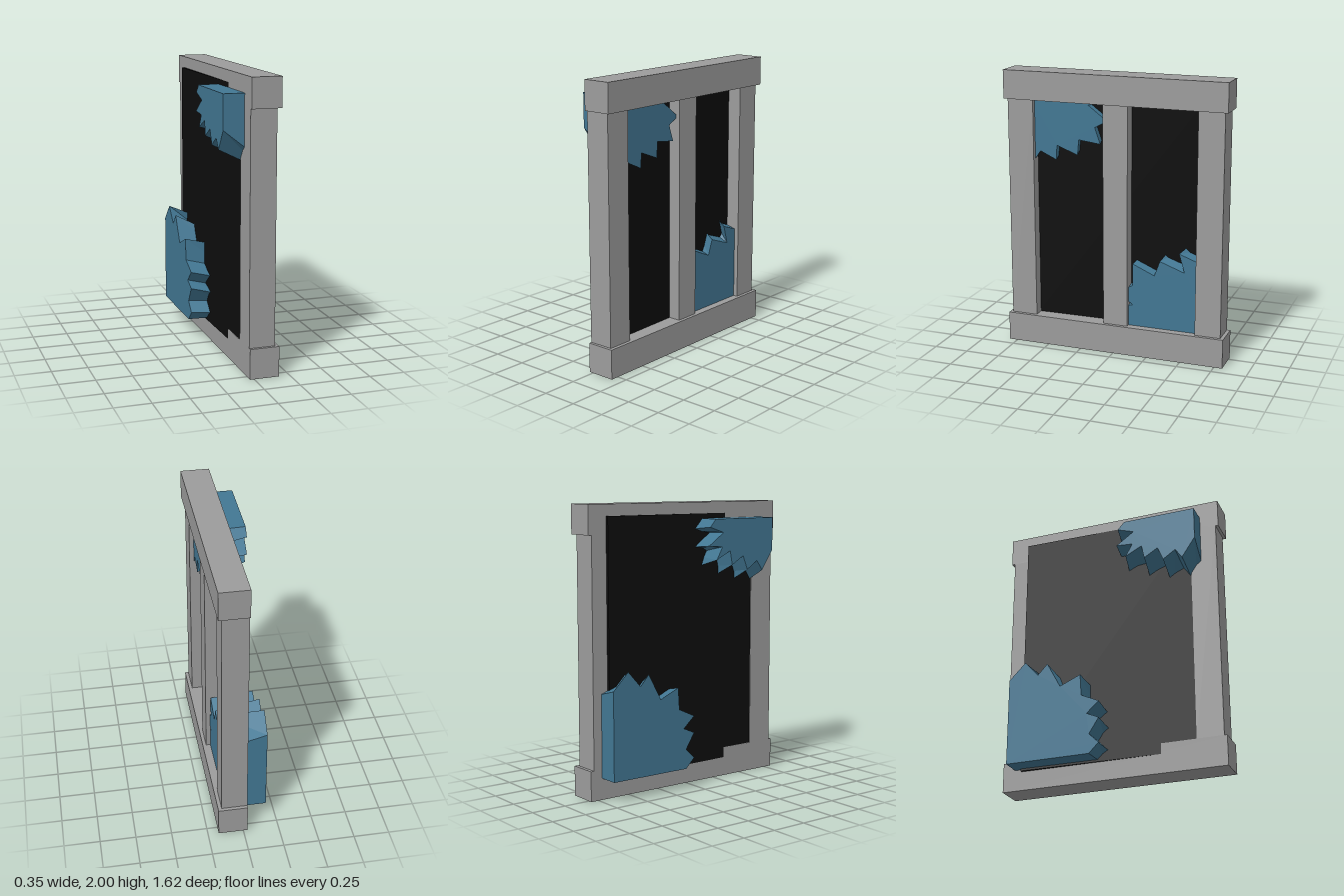
import * as THREE from 'three';

const material = (name, color) => {
  const m = new THREE.MeshStandardMaterial({ color });
  m.name = name;
  return m;
};

// Jagged solid between a front outline (x = FRONT) and a back outline (x = BACK).
// Each row is [front z, front y, back z, back y].
const FRONT = 0.118, BACK = -0.175;
function jaggedSolid(rows) {
  const outline = (k) => rows.map((r) => new THREE.Vector2(-r[k], r[k + 1]));
  if (THREE.ShapeUtils.isClockWise(outline(0))) rows = [...rows].reverse();
  const n = rows.length;
  const front = outline(0), back = outline(2);
  const positions = [
    ...front.flatMap((p) => [FRONT, p.y, -p.x]),
    ...back.flatMap((p) => [BACK, p.y, -p.x]),
  ];
  const index = [];
  for (const [a, b, c] of THREE.ShapeUtils.triangulateShape(front, [])) index.push(a, b, c);
  for (const [a, b, c] of THREE.ShapeUtils.triangulateShape(back, [])) index.push(n + a, n + c, n + b);
  for (let i = 0; i < n; i++) {
    const j = (i + 1) % n;
    index.push(i, n + i, j, j, n + i, n + j);
  }
  const indexed = new THREE.BufferGeometry();
  indexed.setAttribute('position', new THREE.Float32BufferAttribute(positions, 3));
  indexed.setIndex(index);
  const geometry = indexed.toNonIndexed();
  geometry.computeVertexNormals();
  return geometry;
}

export function createModel() {
  const group = new THREE.Group();
  const grey = material('frame grey', 0x9c9c9c);
  const black = material('panel black', 0x0d0d0d);
  const blue = material('shard blue', 0x427793);

  const add = (name, geometry, mat) => {
    const mesh = new THREE.Mesh(geometry, mat);
    mesh.name = name;
    group.add(mesh);
    return mesh;
  };
  // Box given by its limits on each axis
  const box = (name, mat, x0, x1, y0, y1, z0, z1) => {
    const mesh = add(name, new THREE.BoxGeometry(x1 - x0, y1 - y0, z1 - z0), mat);
    mesh.position.set((x0 + x1) / 2, (y0 + y1) / 2, (z0 + z1) / 2);
    return mesh;
  };

  // Frame
  box('bottomRail', grey, -0.03, 0.175, 0, 0.21, -0.81, 0.81);
  box('topRail', grey, -0.03, 0.175, 1.797, 2, -0.81, 0.81);
  box('nearPost', grey, -0.03, 0.15, 0.2, 1.81, 0.6, 0.79);
  box('middlePost', grey, -0.03, 0.15, 0.2, 1.81, -0.1, 0.08);
  box('farPost', grey, -0.03, 0.15, 0.2, 1.81, -0.785, -0.6);

  // Dark panel, slightly askew in the frame
  box('darkPanel', black, -0.037, 0.06, 0.135, 1.92, -0.67, 0.67).rotation.y = 0.02;

  // Jagged shard in the lower corner
  add('lowerShard', jaggedSolid([
    [-0.72, 0.15, -0.72, 0.15],
    [-0.72, 0.69, -0.72, 0.77],
    [-0.47, 0.78, -0.60, 0.89],
    [-0.51, 0.645, -0.50, 0.78],
    [-0.33, 0.71, -0.43, 0.855],
    [-0.29, 0.60, -0.33, 0.67],
    [-0.13, 0.67, -0.18, 0.735],
    [-0.13, 0.51, -0.17, 0.58],
    [-0.02, 0.45, -0.04, 0.52],
    [-0.13, 0.365, -0.13, 0.44],
    [0.00, 0.33, -0.04, 0.40],
    [-0.08, 0.27, -0.11, 0.29],
    [-0.01, 0.20, -0.04, 0.22],
    [-0.09, 0.15, -0.11, 0.15],
  ]), blue);

  // Jagged shard in the upper corner
  add('upperShard', jaggedSolid([
    [0.675, 1.885, 0.675, 1.885],
    [0.675, 1.42, 0.675, 1.65],
    [0.605, 1.365, 0.58, 1.51],
    [0.56, 1.43, 0.53, 1.58],
    [0.44, 1.375, 0.44, 1.52],
    [0.435, 1.48, 0.40, 1.62],
    [0.28, 1.42, 0.30, 1.56],
    [0.27, 1.53, 0.28, 1.66],
    [0.11, 1.51, 0.16, 1.60],
    [0.15, 1.625, 0.21, 1.69],
    [0.06, 1.675, 0.09, 1.70],
    [0.20, 1.78, 0.22, 1.79],
    [0.05, 1.80, 0.10, 1.83],
    [0.13, 1.885, 0.15, 1.885],
  ]), blue);

  return group;
}
